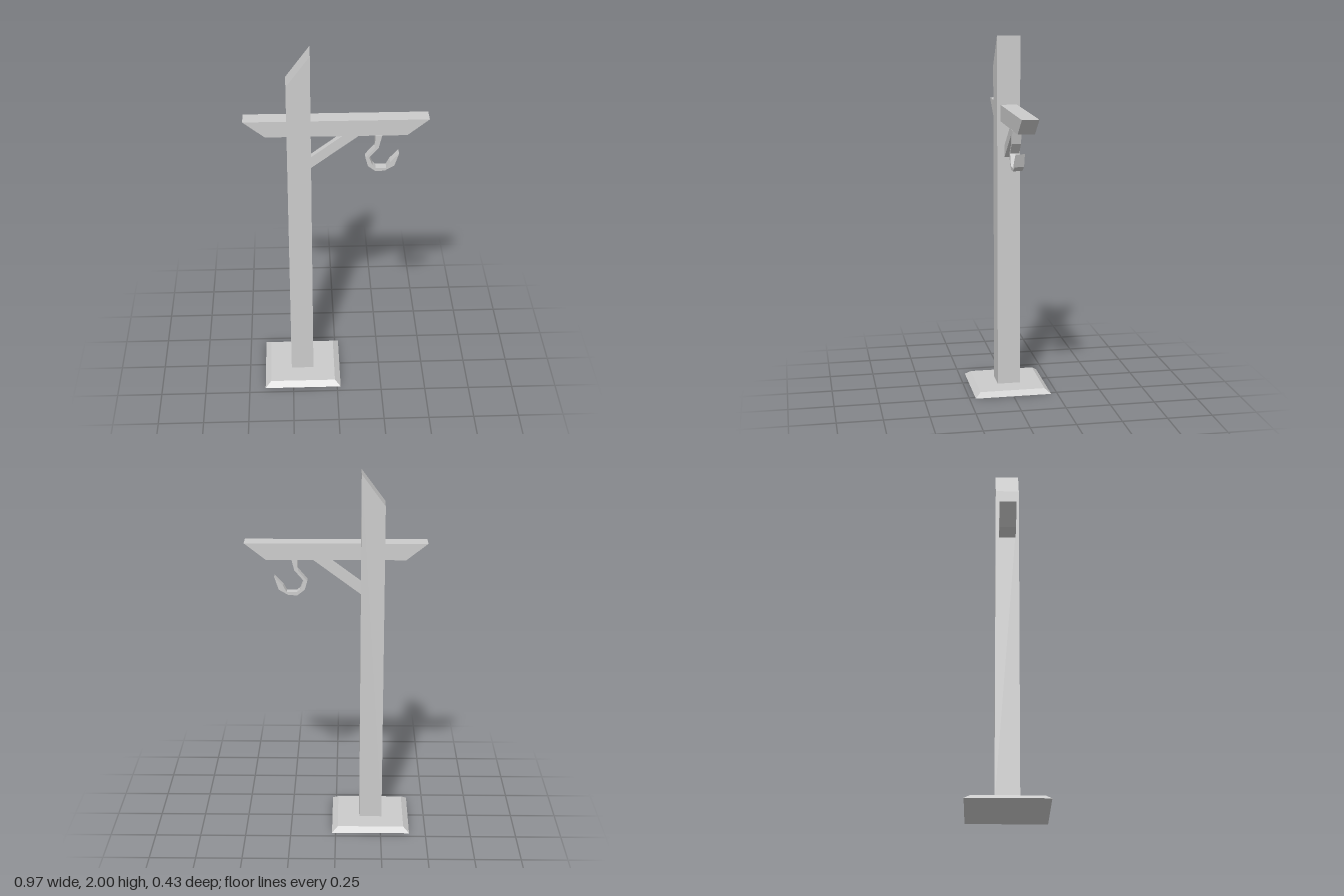
import * as THREE from 'three';

const material = new THREE.MeshStandardMaterial({ color: 0xcccccc, flatShading: true });

// Cuts a side outline (x, y) from a board lying between two depths.
function board(name, outline, zBack, zFront) {
  const shape = new THREE.Shape(outline.map(([x, y]) => new THREE.Vector2(x, y)));
  const geometry = new THREE.ExtrudeGeometry(shape, { depth: zFront - zBack, bevelEnabled: false });
  geometry.translate(0, 0, zBack);
  const mesh = new THREE.Mesh(geometry, material);
  mesh.name = name;
  return mesh;
}

export function createModel() {
  const group = new THREE.Group();
  group.name = 'hookPost';

  // Square foot plate with sloping edges
  const plate = new THREE.CylinderGeometry(0.183 * Math.SQRT2, 0.215 * Math.SQRT2, 0.025, 4);
  plate.rotateY(Math.PI / 4);
  const base = new THREE.Mesh(plate, material);
  base.name = 'base';
  base.position.set(-0.195, 0.0125, 0);
  group.add(base);

  // Upright post with a slanted top
  group.add(board('post', [[-0.259, 0.02], [-0.133, 0.02], [-0.133, 2], [-0.259, 1.83]], -0.064, 0.064));

  // Crossbeam with undercut ends
  group.add(board('crossbeam', [[-0.372, 1.535], [0.372, 1.535], [0.486, 1.625], [-0.486, 1.625]], -0.045, 0.045));

  // Diagonal brace between post and beam
  group.add(board('brace', [[-0.134, 1.335], [0.135, 1.536], [0.048, 1.536], [-0.134, 1.4]], -0.014, 0.024));

  // Hanging hook, tapering to a point
  group.add(board('hook', [
    [0.204, 1.538], [0.204, 1.464], [0.154, 1.403], [0.168, 1.355], [0.209, 1.323],
    [0.257, 1.326], [0.308, 1.356], [0.331, 1.427],
    [0.284, 1.377], [0.265, 1.342], [0.209, 1.342], [0.193, 1.356], [0.174, 1.406],
    [0.223, 1.464], [0.241, 1.538],
  ], -0.001, 0.048));

  return group;
}
